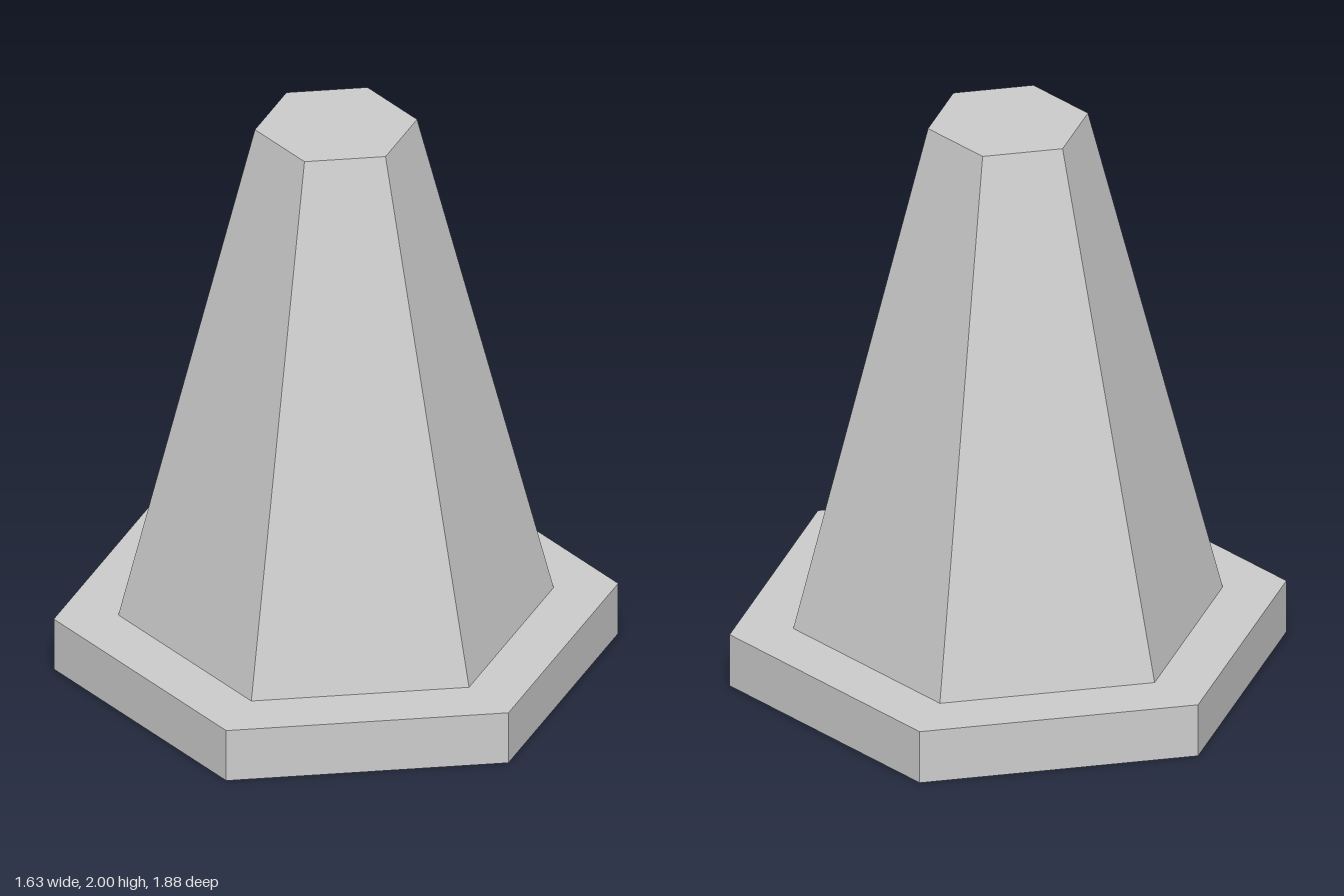
import * as THREE from 'three';

export function createModel() {
  const group = new THREE.Group();
  group.name = 'hexagonalCone';

  const grey = new THREE.MeshStandardMaterial({ color: 0xcccccc, flatShading: true });
  grey.name = 'light grey';

  // Six-sided frustum standing on the given height, with corners on the z axis
  function addFrustum(name, topRadius, bottomRadius, bottom, top) {
    const geometry = new THREE.CylinderGeometry(topRadius, bottomRadius, top - bottom, 6);
    const mesh = new THREE.Mesh(geometry, grey);
    mesh.name = name;
    mesh.position.y = (bottom + top) / 2;
    group.add(mesh);
  }

  addFrustum('base', 0.94, 0.94, 0, 0.19); // flat foot plate
  addFrustum('cone', 0.27, 0.725, 0.19, 2); // tapered body with flat top

  return group;
}
